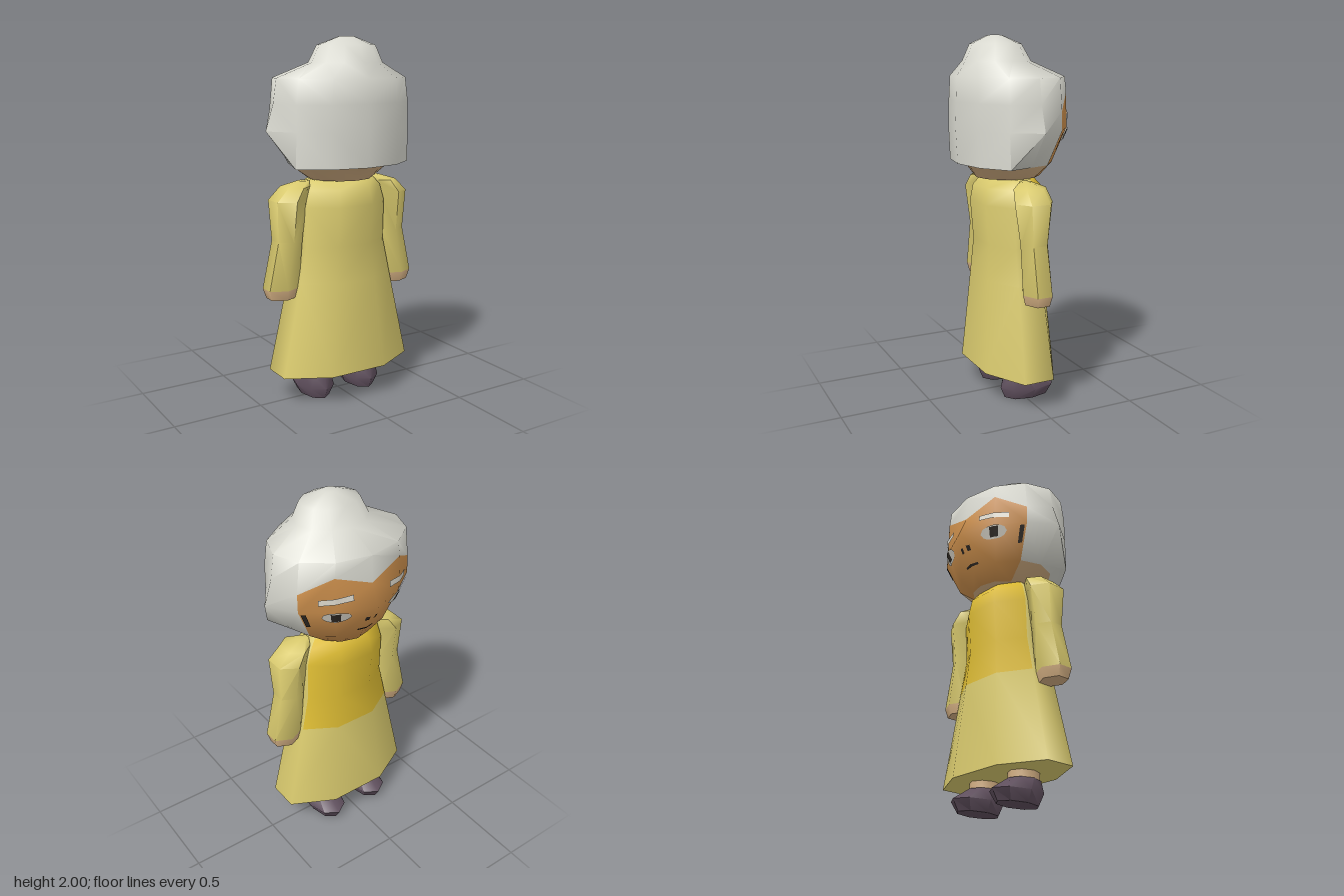
import * as THREE from 'three';
import { toCreasedNormals } from 'three/addons/utils/BufferGeometryUtils.js';

const mat = (name, color, side = THREE.FrontSide) => {
  const m = new THREE.MeshStandardMaterial({ color, side });
  m.name = name;
  return m;
};

// Ring of n points; angle 0 points to -z, where the figure looks. off is in sectors.
function ring(n, y, rx, rz, cx = 0, cz = 0.02, off = 0) {
  return Array.from({ length: n }, (_, k) => {
    const a = ((k + off) / n) * Math.PI * 2;
    return new THREE.Vector3(cx + rx * Math.sin(a), y, cz - rz * Math.cos(a));
  });
}

// Skin stacked rings (bottom to top). pick(row, sector) gives a material index, -1 leaves a gap.
function loft(name, rings, materials, pick = () => 0, capMats = [0, 0], crease = 1.1) {
  const n = rings[0].length, pos = [], lists = materials.map(() => []);
  rings.forEach(r => r.forEach(p => pos.push(p.x, p.y, p.z)));
  for (let i = 0; i < rings.length - 1; i++) {
    for (let k = 0; k < n; k++) {
      const m = pick(i, k);
      if (m < 0) continue;
      const a = i * n + k, b = i * n + (k + 1) % n, d = a + n, c = b + n;
      if (k < n / 2) lists[m].push(a, d, b, b, d, c);
      else lists[m].push(a, d, c, a, c, b);
    }
  }
  // End caps
  [0, rings.length - 1].forEach((i, e) => {
    const mid = rings[i].reduce((s, p) => s.add(p), new THREE.Vector3()).divideScalar(n);
    const c = pos.length / 3;
    pos.push(mid.x, mid.y, mid.z);
    for (let k = 0; k < n; k++) {
      const a = i * n + k, b = i * n + (k + 1) % n;
      lists[capMats[e]].push(...(e ? [c, b, a] : [c, a, b]));
    }
  });
  const g = new THREE.BufferGeometry();
  g.setAttribute('position', new THREE.Float32BufferAttribute(pos, 3));
  g.setIndex(lists.flat());
  let start = 0;
  lists.forEach((l, m) => { g.addGroup(start, l.length, m); start += l.length; });
  const mesh = new THREE.Mesh(toCreasedNormals(g, crease), materials);
  mesh.name = name;
  return mesh;
}

export function createModel() {
  const hair = mat('hair grey', 0xd8d8cf);
  const face = mat('face skin', 0xd0924e);
  const skin = mat('pale skin', 0xd2ae82);
  const dressMat = mat('dress yellow', 0xd9ca6e);
  const gold = mat('bodice gold', 0xdcbb33);
  const shoe = mat('shoe plum', 0x5f4f5d);
  const white = mat('eye white', 0xdcd8cc, THREE.DoubleSide);
  const dark = mat('dark marks', 0x302a25, THREE.DoubleSide);
  const model = new THREE.Group();

  // Head: skin below, flared hair rim, face in front, bun on top
  const jaw = ring(12, 1.32, 0.3, 0.23);
  const rim = ring(12, 1.32, 0.41, 0.29).map((p, k) => (k >= 4 && k <= 8 ? p : jaw[k].clone()));
  const cheek = ring(12, 1.51, 0.405, 0.3);
  cheek[3].x = 0.45;
  cheek[9].x = -0.45;
  cheek[0].z = -0.325;
  const brow = ring(12, 1.65, 0.405, 0.295);
  [[0, 1.63], [1, 1.7], [11, 1.7], [2, 1.61], [10, 1.61]].forEach(([k, y]) => { brow[k].y = y; });
  const chin = ring(12, 1.24, 0.18, 0.18);
  model.add(loft('head', [
    chin, jaw, rim, cheek, brow,
    ring(12, 1.78, 0.385, 0.29),
    ring(12, 1.86, 0.205, 0.18, 0, 0.08),
    ring(12, 1.95, 0.165, 0.132, 0, 0.086),
    ring(12, 1.995, 0.04, 0.035, 0, 0.09),
  ], [hair, face, skin], (i, k) => {
    const front = k < 2 || k > 9;
    if (i === 1) return k >= 3 && k <= 8 ? 0 : -1;
    if (i === 0) return front ? 1 : 2;
    return front && i < 4 ? 1 : 0;
  }, [2, 0]));

  // Point on the face: a counts sectors from the centre line, y is height
  const rows = [chin, jaw, cheek, brow];
  function onFace(a, y) {
    const k = Math.floor(a), t = a - k;
    const at = r => r[(k + 12) % 12].clone().lerp(r[(k + 13) % 12], t);
    const pts = rows.map(at);
    let i = 0;
    while (i < 2 && y > pts[i + 1].y) i++;
    const p = pts[i].clone().lerp(pts[i + 1], (y - pts[i].y) / (pts[i + 1].y - pts[i].y));
    const out = new THREE.Vector3(p.x, 0, (p.z - 0.02) * 1.6).normalize();
    return p.addScaledVector(out, 0.007);
  }

  // Painted patch hugging the face; half(u) is its half height for u in -1..1
  function patch(name, material, a, da, y, half, lift = 0, tilt = 0) {
    const nu = 12, nv = 6, pos = [], idx = [];
    for (let i = 0; i <= nu; i++) {
      for (let j = 0; j <= nv; j++) {
        const u = (i / nu) * 2 - 1, v = (j / nv) * 2 - 1;
        const p = onFace(a + u * da, y + v * half(u) + tilt * u);
        const out = new THREE.Vector3(p.x, 0, p.z).normalize();
        p.addScaledVector(out, lift);
        pos.push(p.x, p.y, p.z);
        if (i < nu && j < nv) {
          const q = i * (nv + 1) + j;
          idx.push(q, q + 1, q + nv + 1, q + 1, q + nv + 2, q + nv + 1);
        }
      }
    }
    const g = new THREE.BufferGeometry();
    g.setAttribute('position', new THREE.Float32BufferAttribute(pos, 3));
    g.setIndex(idx);
    g.computeVertexNormals();
    const mesh = new THREE.Mesh(g, material);
    mesh.name = name;
    model.add(mesh);
  }
  for (const s of [-1, 1]) {
    patch('eye', white, s, 0.4, 1.475, u => 0.036 * Math.sqrt(1 - u * u));
    patch('iris', dark, s, 0.13, 1.475, () => 0.027, 0.003);
    patch('eyebrow', white, s, 0.45, 1.575, () => 0.016, 0, -s * 0.008);
    patch('sideMark', dark, s * 1.87, 0.07, 1.45, () => 0.045);
    patch('noseMark', dark, s * 0.14, 0.06, 1.43, () => 0.014);
  }
  patch('mouth', dark, 0, 0.3, 1.345, () => 0.006);

  // Dress with a gold front bodice
  const dressRings = [
    [0.17, 0.405, 0.21], [0.68, 0.293, 0.172], [0.88, 0.25, 0.158],
    [1.1, 0.25, 0.176], [1.19, 0.225, 0.162], [1.24, 0.185, 0.12],
  ].map(([y, w, d]) => ring(8, y, w / 0.924, d / 0.924, 0, 0.02, 0.5));
  model.add(loft('dress', dressRings, [dressMat, gold],
    (i, k) => (i > 0 && (k === 7 || k === 0 || k === 6) ? 1 : 0), [0, 0], 1.25));

  for (const s of [-1, 1]) {
    // Arm: height, inner x, outer x, depth radius
    const armRings = [
      [0.605, 0.295, 0.445, 0.07], [0.66, 0.285, 0.462, 0.085], [0.92, 0.26, 0.405, 0.08],
      [1.14, 0.24, 0.415, 0.11], [1.21, 0.215, 0.345, 0.095], [1.237, 0.2, 0.26, 0.03],
    ].map(([y, x0, x1, rz]) => ring(6, y, (x1 - x0) / 2 / 0.866, rz, s * (x0 + x1) / 2));
    model.add(loft(s > 0 ? 'leftArm' : 'rightArm', armRings, [dressMat, skin],
      i => (i === 0 ? 1 : 0), [1, 0]));

    // Leg and shoe
    model.add(loft('leg', [0.1, 0.24].map(y => ring(8, y, 0.074, 0.09, s * 0.15, 0.015)), [skin]));
    model.add(loft('shoe', [
      ring(8, 0, 0.075, 0.135, s * 0.15, -0.03),
      ring(8, 0.06, 0.106, 0.165, s * 0.15, -0.035),
      ring(8, 0.13, 0.078, 0.1, s * 0.15, 0.012),
    ], [shoe]));
  }
  return model;
}
